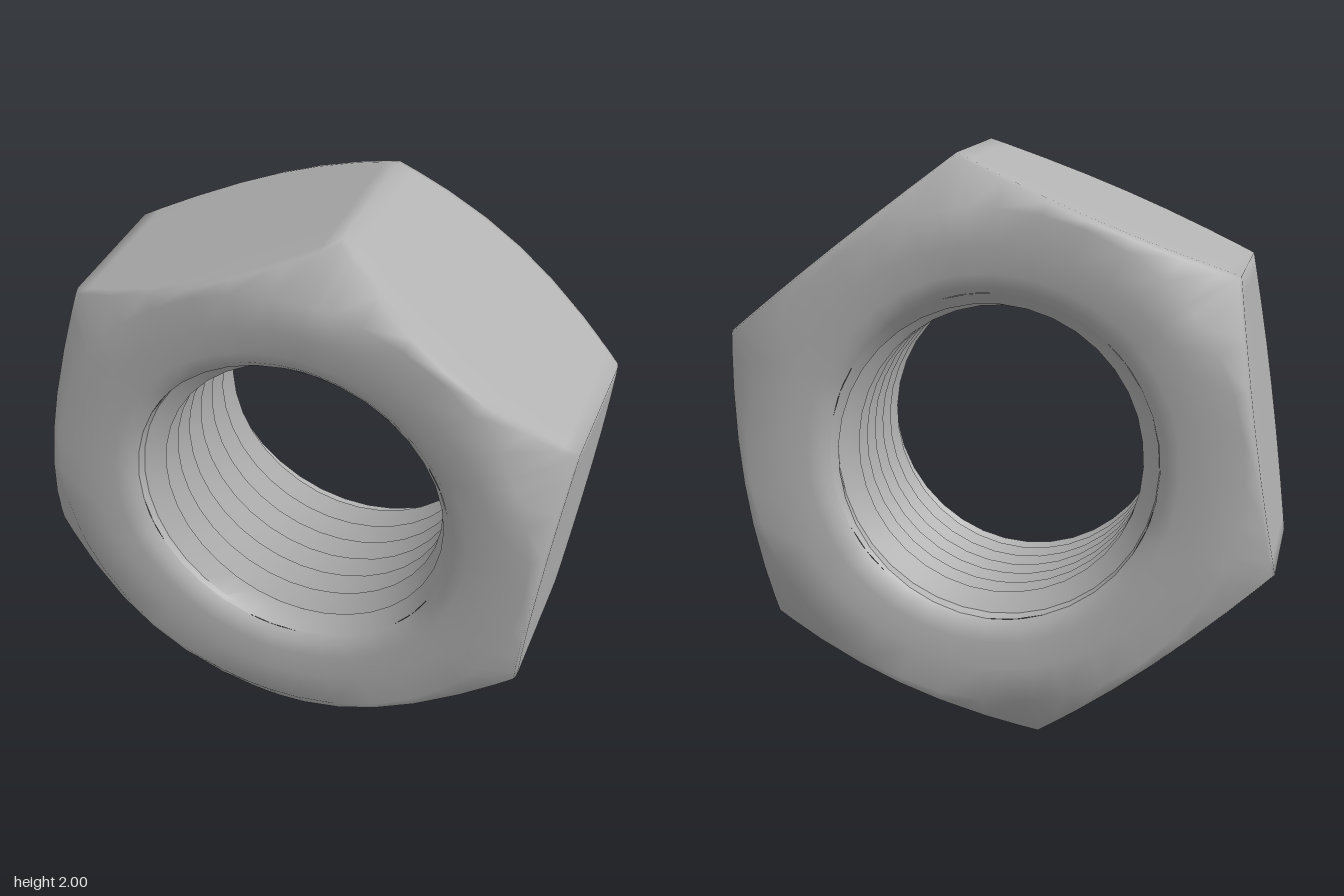
import * as THREE from 'three';
import { toCreasedNormals } from 'three/addons/utils/BufferGeometryUtils.js';

const CORNER = 1.01, APOTHEM = 0.875, TURN = THREE.MathUtils.degToRad(22);
const HALF = 0.425, RIM = 0.86, BORE_RIM = 0.63, BORE_Z = 0.38;
const MINOR = 0.495, MAJOR = 0.555, PITCH = 0.1;

// Angles round the nut, closer together near the six corners
const angles = [];
for (let side = 0; side < 6; side++) {
  for (const a of [0, 3, 10, 20, 30, 40, 50, 57]) {
    angles.push(THREE.MathUtils.degToRad(side * 60 + a));
  }
}
angles.push(Math.PI * 2);

// Distance from the axis to the hexagon at an angle measured from a corner
function hexRadius(a) {
  const local = (a % (Math.PI / 3)) - Math.PI / 6;
  return Math.min(CORNER, APOTHEM / Math.cos(local));
}

// Joins rows of [radius, z] points; the seam column is shared so shading is smooth
function gridGeometry(rows, cols, pointAt, closed) {
  const positions = [], index = [];
  const width = closed ? cols - 1 : cols;
  for (let j = 0; j < rows; j++) {
    for (let i = 0; i < width; i++) {
      const [a, r, z] = pointAt(i, j);
      positions.push(r * Math.cos(a + TURN), r * Math.sin(a + TURN), z);
    }
  }
  const P = n => new THREE.Vector3().fromArray(positions, n * 3);
  const addFace = (a, b, c) => {
    const area = P(b).sub(P(a)).cross(P(c).sub(P(a))).length();
    if (area > 1e-7) index.push(a, b, c);
  };
  for (let j = 0; j < rows - 1; j++) {
    for (let i = 0; i < cols - 1; i++) {
      const k = (i + 1) % width;
      const a = j * width + i, b = j * width + k;
      const c = (j + 1) * width + k, d = (j + 1) * width + i;
      addFace(a, b, c);
      addFace(a, c, d);
    }
  }
  const g = new THREE.BufferGeometry();
  g.setAttribute('position', new THREE.Float32BufferAttribute(positions, 3));
  g.setIndex(index);
  g.computeVertexNormals();
  return g;
}

// Cross-section of the body at one angle: back bore edge, outside, front bore edge
function section(a) {
  const r = hexRadius(a);
  const edge = HALF - 0.012 - (r - RIM) * 0.9;
  const half = [
    [MAJOR + 0.005, BORE_Z], [0.585, 0.405], [BORE_RIM, HALF - 0.005],
    [0.72, HALF], [RIM - 0.02, HALF], [r - 0.008, edge + 0.012], [r, edge - 0.015], [r, edge * 0.5],
  ];
  const back = half.map(([x, z]) => [x, -z]);
  return [...back, ...half.reverse()];
}

export function createModel() {
  const group = new THREE.Group();
  group.name = 'hexNut';
  const steel = new THREE.MeshStandardMaterial({ color: 0xb2b2b2 });
  steel.name = 'grey steel';

  // Hexagonal body with chamfered corners and flared bore mouths
  const sections = angles.map(section);
  const bodyGeometry = gridGeometry(sections[0].length, angles.length,
    (i, j) => [angles[i], ...sections[i][j]], true);
  const body = new THREE.Mesh(bodyGeometry, steel);
  body.name = 'hexBody';
  group.add(body);

  // Helical thread: rows follow the crests and roots, clipped at the bore mouths
  const steps = 36, turns = Math.ceil(BORE_Z / PITCH) + 1;
  const rows = turns * 4 + 1;
  const threadGeometry = gridGeometry(rows, steps + 1, (i, j) => {
    const t = i / steps;
    // Rows run front to back so the faces look towards the axis
    const raw = PITCH * (turns - j / 2 + t - 0.5);
    const z = THREE.MathUtils.clamp(raw, -BORE_Z, BORE_Z);
    const phase = THREE.MathUtils.euclideanModulo(z / PITCH - t, 1);
    const wave = MINOR + (MAJOR - MINOR) * Math.abs(phase * 2 - 1);
    const flare = MAJOR + 0.005 - (BORE_Z - Math.abs(z)) * 0.9;
    return [t * Math.PI * 2, Math.max(wave, flare), z];
  }, false);
  const thread = new THREE.Mesh(toCreasedNormals(threadGeometry, 0.6), steel);
  thread.name = 'thread';
  group.add(thread);

  group.position.y = 1;
  const model = new THREE.Group();
  model.name = 'nut';
  model.add(group);
  return model;
}
